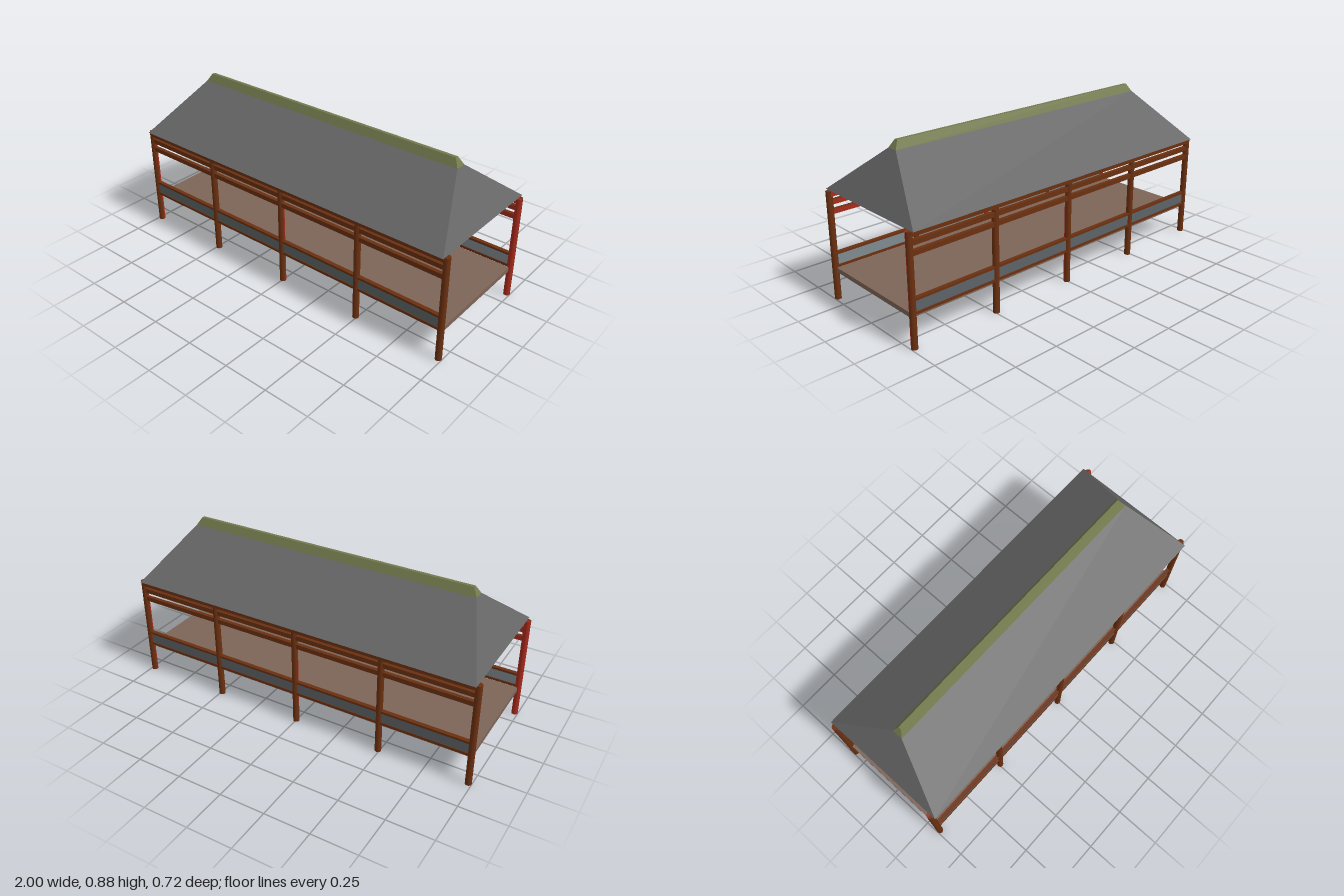
import * as THREE from 'three';

function material(name, color, side = THREE.FrontSide) {
  const m = new THREE.MeshStandardMaterial({ color, side });
  m.name = name;
  return m;
}

// Four-sided tapered block from a lower to an upper rectangle, open below
function hip(y0, x0, z0, y1, x1, z1) {
  const ring = (y, x, z) => [[-x, y, z], [x, y, z], [x, y, -z], [-x, y, -z]];
  const a = ring(y0, x0, z0), b = ring(y1, x1, z1), pos = [];
  const quad = (p, q, r, s) => pos.push(...p, ...q, ...r, ...p, ...r, ...s);
  for (let i = 0; i < 4; i++) {
    const j = (i + 1) % 4;
    quad(a[i], a[j], b[j], b[i]);
  }
  quad(...b);
  const g = new THREE.BufferGeometry();
  g.setAttribute('position', new THREE.Float32BufferAttribute(pos, 3));
  g.computeVertexNormals();
  return g;
}

export function createModel() {
  const brown = material('brown timber', 0x6b3010);
  const red = material('red timber', 0xa82a1c);
  const deck = material('deck brown', 0x7d6457);
  const slate = material('roof grey', 0x666666);
  const moss = material('ridge green', 0x737a4d);
  const panelOuter = material('dark panel grey', 0x5c6366);
  const panelInner = material('light panel grey', 0x7f8a8e);

  const model = new THREE.Group();
  model.name = 'openPavilion';
  const add = (parent, name, geometry, mat, x = 0, y = 0, z = 0) => {
    const mesh = new THREE.Mesh(geometry, mat);
    mesh.name = name;
    mesh.position.set(x, y, z);
    parent.add(mesh);
  };
  // Long beam between two heights; its inward (-z) face may differ in colour
  const beam = (parent, name, y0, y1, depth, outer, inner, halfLength = 0.975) => {
    const mats = [outer, outer, outer, outer, outer, inner];
    add(parent, name, new THREE.BoxGeometry(halfLength * 2, y1 - y0, depth), mats, 0, (y0 + y1) / 2, 0.328);
  };

  // One long side, repeated by a half turn for the other
  const R = 0.017, H = 0.58;
  const half = start => new THREE.CylinderGeometry(R, R, H, 8, 1, false, start, Math.PI);
  const outerHalf = half(-Math.PI / 2), innerHalf = half(Math.PI / 2);
  for (const [name, turn] of [['frontSide', 0], ['backSide', Math.PI]]) {
    const side = new THREE.Group();
    side.name = name;
    side.rotation.y = turn;
    model.add(side);

    // Posts, some with a red inward half
    [-0.983, -0.4915, 0, 0.4915, 0.983].forEach((x, i) => {
      add(side, 'postOuterHalf', outerHalf, brown, x, H / 2, 0.328);
      add(side, 'postInnerHalf', innerHalf, i === 0 || i === 2 ? red : brown, x, H / 2, 0.328);
    });

    // Upper rails, red towards the inside
    beam(side, 'topRail', 0.555, 0.58, 0.037, brown, red, 0.983);
    beam(side, 'upperRail', 0.51, 0.535, 0.02, brown, red);
    beam(side, 'middleRail', 0.46, 0.485, 0.02, brown, red);

    // Balustrade
    beam(side, 'handRail', 0.243, 0.255, 0.022, brown, brown);
    beam(side, 'balustradePanel', 0.187, 0.243, 0.012, panelOuter, panelInner);
    beam(side, 'footRail', 0.174, 0.187, 0.022, brown, brown);
  }

  // Floor
  add(model, 'floor', new THREE.BoxGeometry(1.966, 0.025, 0.63), deck, 0, 0.1625, 0);

  // Hipped roof, flat ceiling and ridge cap
  add(model, 'roof', hip(0.582, 0.98, 0.36, 0.835, 0.825, 0.03), slate);
  add(model, 'ridgeCap', hip(0.835, 0.825, 0.03, 0.877, 0.8, 0.009), moss);
  add(model, 'ceiling', new THREE.PlaneGeometry(1.96, 0.72).rotateX(Math.PI / 2), deck, 0, 0.582, 0);

  return model;
}
